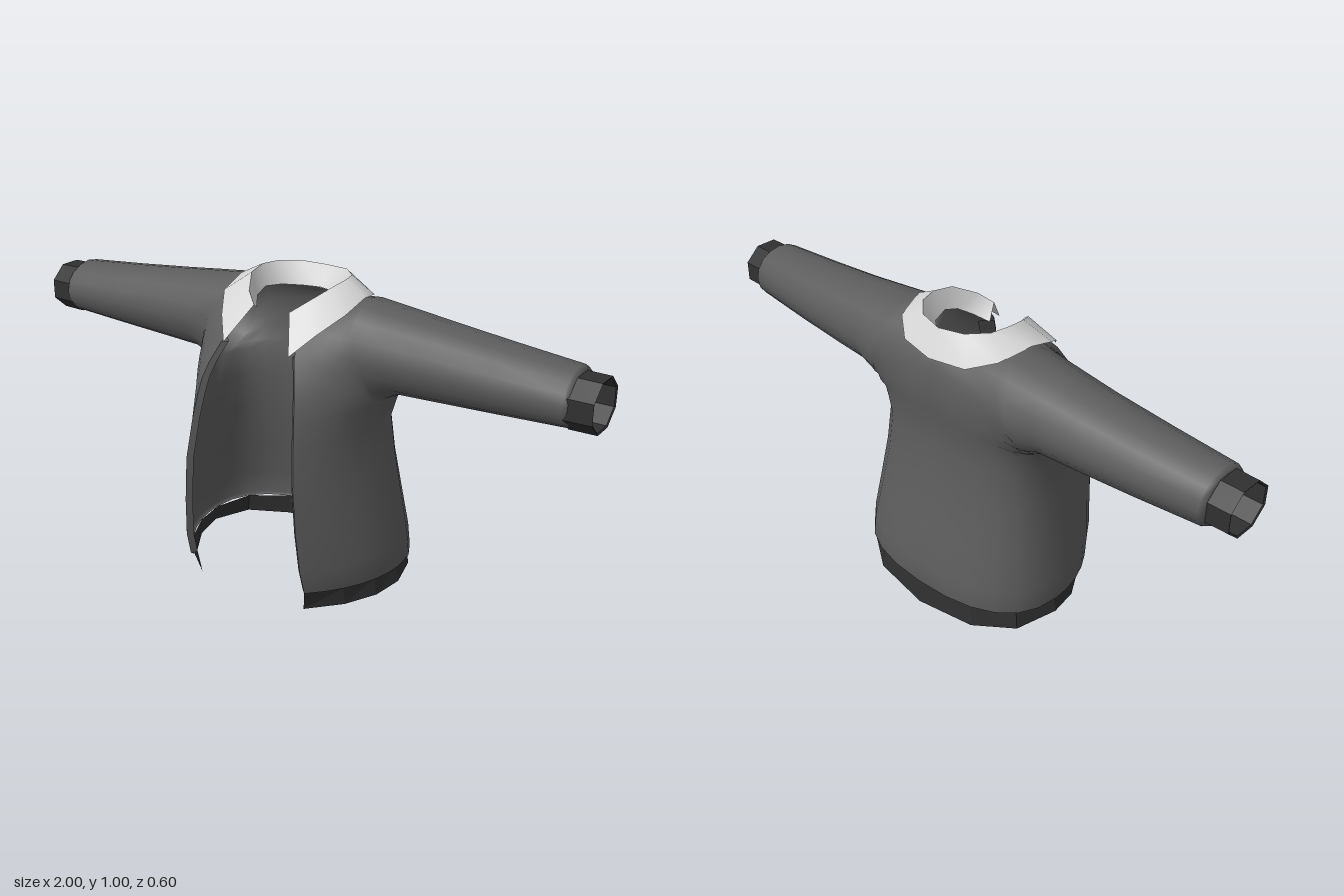
import * as THREE from 'three';
import { mergeVertices, toCreasedNormals } from 'three/addons/utils/BufferGeometryUtils.js';

const fabric = new THREE.MeshStandardMaterial({ color: 0x5c5c5c, side: THREE.DoubleSide });
fabric.name = 'greyFabric';
const ribbing = new THREE.MeshStandardMaterial({ color: 0x303030, side: THREE.DoubleSide });
ribbing.name = 'darkRibbing';
const pale = new THREE.MeshStandardMaterial({ color: 0xd6d6d6, side: THREE.DoubleSide });
pale.name = 'paleCollar';

// Quadratic curve through a row of points, from a to b, pulled towards c
function curve(a, c, b, n = 6) {
  return Array.from({ length: n + 1 }, (_, i) => {
    const t = i / n, s = 1 - t;
    return a.map((v, k) => s * s * v + 2 * s * t * c[k] + t * t * b[k]);
  });
}
const mix = (a, b, t) => a.map((v, k) => v + (b[k] - v) * t);

// Front and back rows of half the garment, wrapping from one end to the other;
// straight = 1 removes the bulge
function frontRow(e, s, straight = 0) {
  const corner = [s[0], (e[1] + s[1]) / 2, s[2] + (e[2] - s[2]) * 0.55];
  return curve(e, mix(corner, mix(e, s, 0.5), straight), s);
}
function backRow(s, b, straight = 0) {
  const corner = [s[0], (b[1] + s[1]) / 2, b[2]];
  return curve(s, mix(corner, mix(s, b, 0.5), straight), b);
}

// Skins grids of points, mirrors them in x and returns one mesh.
// crease: null = smooth, 0 = faceted, otherwise the crease angle
function skin(name, grids, material, crease = null) {
  const pos = [];
  const tri = (...pts) => {
    for (const p of pts) pos.push(...p.map((v) => Math.round(v * 1e4) / 1e4));
  };
  const flip = (p) => [-p[0], p[1], p[2]];
  for (const rows of grids) {
    for (let j = 0; j < rows.length - 1; j++) {
      for (let i = 0; i < rows[j].length - 1; i++) {
        const a = rows[j][i], b = rows[j][i + 1], c = rows[j + 1][i + 1], d = rows[j + 1][i];
        tri(a, b, c); tri(a, c, d);
        tri(flip(a), flip(c), flip(b)); tri(flip(a), flip(d), flip(c));
      }
    }
  }
  let geo = new THREE.BufferGeometry();
  geo.setAttribute('position', new THREE.Float32BufferAttribute(pos, 3));
  if (crease === null) geo = mergeVertices(geo, 1e-3);
  geo.computeVertexNormals();
  if (crease) geo = toCreasedNormals(geo, crease);
  const mesh = new THREE.Mesh(geo, material);
  mesh.name = name;
  return mesh;
}

// Ring around the sleeve axis: x, centre y, centre z, radii
function ring(x, cy, cz, ry, rz, n = 16, offset = -Math.PI / 2) {
  return Array.from({ length: n + 1 }, (_, i) => {
    const a = offset + ((i % n) / n) * Math.PI * 2;
    return [x, cy + ry * Math.sin(a), cz + rz * Math.cos(a)];
  });
}

export function createModel() {
  const group = new THREE.Group();
  group.name = 'openJacket';

  // Armhole loop, leaning inwards towards the shoulder
  const armhole = ring(0, 0.81, -0.06, 0.15, 0.15).map(([, y, z]) =>
    [0.285 - 0.045 * (y - 0.81) / 0.15, y, z]);

  // Torso below the armpit: y, opening x, opening z, side x, back z
  const levels = [
    [0.09, 0.225, 0.27, 0.378, -0.30],
    [0.17, 0.222, 0.29, 0.37, -0.293],
    [0.30, 0.213, 0.30, 0.35, -0.26],
    [0.45, 0.203, 0.30, 0.325, -0.228],
    [0.58, 0.19, 0.28, 0.308, -0.215],
  ].map(([y, ex, ez, sx, bz]) => ({ e: [ex, y, ez], s: [sx, y, -0.05], b: [0, y, bz] }));
  const hemTop = { e: [0.217, 0.083, 0.26], s: [0.365, 0.083, -0.05], b: [0, 0.083, -0.292] };
  const hemBottom = { e: [0.203, 0.012, 0.24], s: [0.375, 0.03, -0.05], b: [0, 0, -0.30] };

  // Yoke: opening edge then neckline at the front, centre then neckline at the back
  const frontEdge = [
    [0.18, 0.66, 0.262], [0.172, 0.71, 0.248], [0.158, 0.76, 0.228],
    [0.135, 0.82, 0.195], [0.12, 0.86, 0.16], [0.115, 0.89, 0.12],
    [0.13, 0.92, 0.07], [0.14, 0.945, 0.01], [0.14, 0.96, -0.04],
  ];
  const backEdge = [
    [0, 0.66, -0.215], [0, 0.72, -0.225], [0, 0.78, -0.228],
    [0, 0.84, -0.222], [0, 0.88, -0.21], [0, 0.91, -0.19],
    [0.05, 0.925, -0.165], [0.11, 0.94, -0.11], [0.14, 0.96, -0.04],
  ];
  const frontYoke = frontEdge.map((e, j) => frontRow(e, armhole[j], j / 8));
  const backYoke = backEdge.map((b, j) => backRow(armhole[16 - j], b, j / 8));

  const wrap = ({ e, s, b }) => [...frontRow(e, s), ...backRow(s, b).slice(1)];
  const torso = [hemTop, ...levels].map(wrap);
  torso.push([...frontYoke[0], ...backYoke[0].slice(1)]);

  // Sleeves, ending in a turned-in edge that meets the cuff
  const sleeve = [
    armhole,
    ring(0.37, 0.815, -0.062, 0.13, 0.14),
    ring(0.50, 0.81, -0.062, 0.12, 0.13),
    ring(0.70, 0.805, -0.058, 0.105, 0.118),
    ring(0.915, 0.802, -0.052, 0.09, 0.103),
    ring(0.927, 0.80, -0.05, 0.083, 0.094),
    ring(0.927, 0.798, -0.048, 0.075, 0.084),
  ].reverse();
  group.add(skin('bodyAndSleeves', [torso, frontYoke, backYoke, sleeve], fabric));

  // Folded facing along the front opening
  const edge = [...levels.map((l) => l.e), ...frontEdge.slice(0, 4)];
  const facing = edge.map(([x, y, z]) => [
    [x + 0.02, y, z - 0.055], [x - 0.016, y, z - 0.016], [x, y, z],
  ]);
  group.add(skin('frontFacing', [facing], fabric, 0.6));

  // Hem band
  const low = ({ e, s, b }) => [...curve(e, frontRow(e, s, 0)[3].map((v, k) => 2 * v - (e[k] + s[k]) / 2), s, 3),
    ...backRow(s, b).filter((_, i) => i % 2 === 0).slice(1)];
  group.add(skin('hemBand', [[low(hemBottom), low(hemTop)]], ribbing, 0));

  // Eight-sided cuffs with a thin rim
  const cuffRing = (x, ry, rz) => ring(x, 0.795, -0.045, ry, rz, 8, Math.PI / 8);
  group.add(skin('cuffs', [[
    cuffRing(0.93, 0.076, 0.084), cuffRing(0.997, 0.077, 0.085),
    cuffRing(1.0, 0.083, 0.092), cuffRing(0.915, 0.084, 0.094),
  ]], ribbing, 0));

  // Collar sections from back to front: inner stand, fold, outer edge
  const collar = [
    [[0, 0.93, -0.145], [0, 0.995, -0.185], [0, 0.91, -0.228]],
    [[0.06, 0.93, -0.13], [0.085, 1.0, -0.165], [0.125, 0.915, -0.205]],
    [[0.11, 0.935, -0.09], [0.14, 1.003, -0.11], [0.20, 0.942, -0.145]],
    [[0.13, 0.94, -0.03], [0.155, 1.005, -0.05], [0.232, 0.965, -0.04]],
    [[0.125, 0.925, 0.02], [0.147, 0.995, 0.02], [0.225, 0.935, 0.06]],
    [[0.10, 0.90, 0.06], [0.105, 0.96, 0.09], [0.175, 0.885, 0.14]],
    [[0.045, 0.885, 0.08], [0.065, 0.93, 0.12], [0.12, 0.825, 0.205]],
  ].reverse();
  const collarRows = [2, 1, 0].map((k) => collar.map((section) => section[k]));
  group.add(skin('collar', [collarRows], pale, 0.7));

  return group;
}
